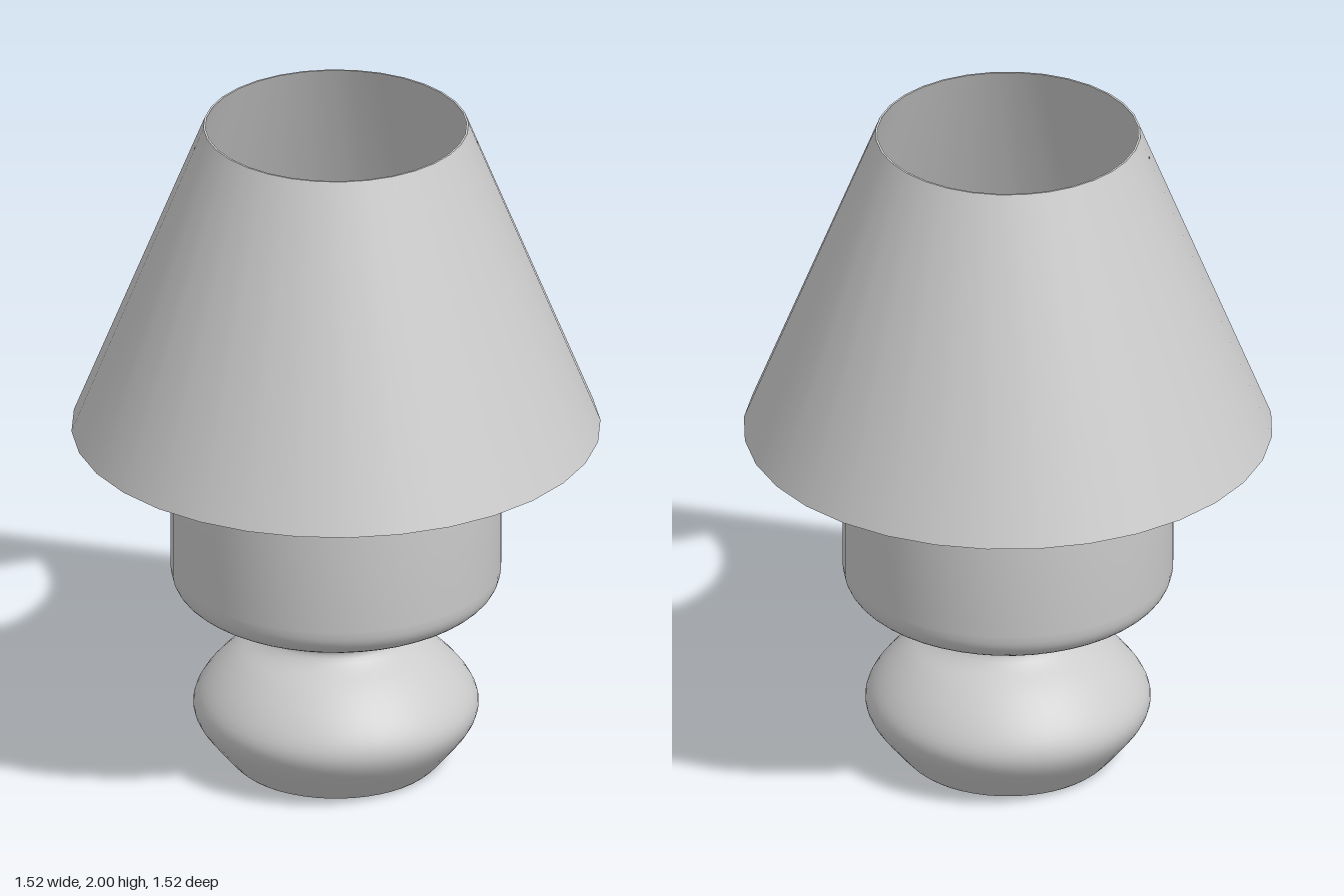
import * as THREE from 'three';
import { toCreasedNormals } from 'three/addons/utils/BufferGeometryUtils.js';

const material = new THREE.MeshStandardMaterial({ color: 0xcccccc });
const thinMaterial = new THREE.MeshStandardMaterial({ color: 0xcccccc, side: THREE.DoubleSide });

// Turned part: profile of [radius, height] pairs, running upwards on the outside
function turned(name, profile, segments, mat = material) {
  const points = profile.map(([r, y]) => new THREE.Vector2(r, y));
  const geometry = toCreasedNormals(new THREE.LatheGeometry(points, segments), 0.6);
  const mesh = new THREE.Mesh(geometry, mat);
  mesh.name = name;
  return mesh;
}

// Thin straight rod between two points
function rod(name, a, b, radius) {
  const mesh = new THREE.Mesh(new THREE.TubeGeometry(new THREE.LineCurve3(a, b), 1, radius, 6), thinMaterial);
  mesh.name = name;
  return mesh;
}

export function createModel() {
  const lamp = new THREE.Group();
  lamp.name = 'tableLamp';

  // Base: round foot, pinched waist and straight drum, smoothed through a curve
  const curve = new THREE.SplineCurve([
    [0.28, 0], [0.3, 0.012], [0.35, 0.07], [0.395, 0.13], [0.41, 0.18], [0.395, 0.23],
    [0.35, 0.29], [0.29, 0.345], [0.23, 0.385], [0.204, 0.417], [0.22, 0.443],
    [0.27, 0.468], [0.34, 0.494], [0.41, 0.522], [0.45, 0.55], [0.469, 0.58], [0.475, 0.615],
  ].map(([r, y]) => new THREE.Vector2(r, y)));
  const side = curve.getPoints(48).map((p) => [p.x, p.y]);
  lamp.add(turned('base', [[0, 0], ...side, [0.475, 0.947], [0.472, 0.95], [0, 0.95]], 48));

  // Stem and bulb holder with its collar
  lamp.add(turned('stem', [[0, 0.94], [0.024, 0.94], [0.024, 1.14], [0, 1.14]], 16));
  lamp.add(turned('socket', [[0, 1.12], [0.08, 1.12], [0.08, 1.25], [0, 1.25]], 32));
  lamp.add(turned('collar', [[0.08, 1.23], [0.118, 1.23], [0.118, 1.245], [0.08, 1.245]], 32));

  // Bulb: tapering neck under a round top
  const bulb = [[0.07, 1.24], [0.075, 1.265]];
  for (let i = 0; i <= 12; i++) {
    const a = THREE.MathUtils.lerp(-0.45, Math.PI / 2, i / 12);
    bulb.push([Math.max(0, 0.093 * Math.cos(a)), 1.325 + 0.093 * Math.sin(a)]);
  }
  lamp.add(turned('bulb', bulb, 24));

  // Two wires carrying the shade from the collar
  for (const s of [1, -1]) {
    lamp.add(rod(s > 0 ? 'leftShadeWire' : 'rightShadeWire',
      new THREE.Vector3(s * 0.115, 1.24, 0), new THREE.Vector3(s * 0.405, 1.94, 0), 0.004));
  }

  // Shade: thin open cone
  lamp.add(turned('shade', [
    [0.757, 1.05], [0.76, 1.05], [0.381, 2], [0.375, 2], [0.757, 1.05],
  ], 32, thinMaterial));

  return lamp;
}
